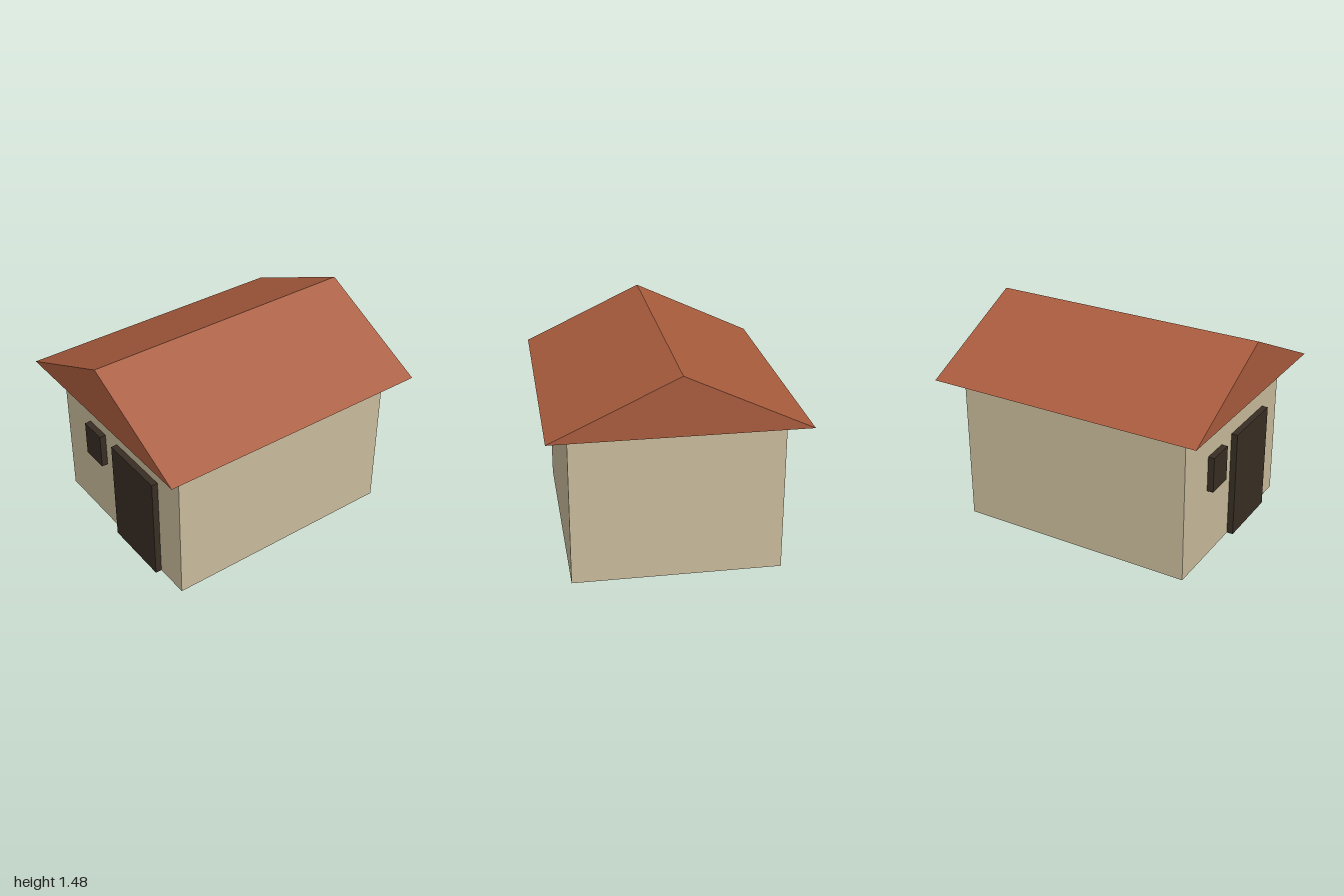
import * as THREE from 'three';

const wallMat = new THREE.MeshStandardMaterial({ color: 0xc8bb9b });
wallMat.name = 'sand plaster';
const roofMat = new THREE.MeshStandardMaterial({ color: 0xa85b3d });
roofMat.name = 'terracotta';
const darkMat = new THREE.MeshStandardMaterial({ color: 0x382e24 });
darkMat.name = 'dark timber';

// Box given by its min and max corners
function box(name, mat, [x0, y0, z0], [x1, y1, z1]) {
  const mesh = new THREE.Mesh(new THREE.BoxGeometry(x1 - x0, y1 - y0, z1 - z0), mat);
  mesh.position.set((x0 + x1) / 2, (y0 + y1) / 2, (z0 + z1) / 2);
  mesh.name = name;
  return mesh;
}

export function createModel() {
  const house = new THREE.Group();
  house.name = 'house';

  const eaveY = 1.075, wallZ = 0.857, frontZ = 0.902;

  // Walls
  house.add(box('walls', wallMat, [-0.713, 0, -wallZ], [0.713, eaveY, wallZ]));

  // Gable roof: a solid triangular prism overhanging all four walls
  const gable = new THREE.Shape([
    new THREE.Vector2(-0.855, eaveY),
    new THREE.Vector2(0.855, eaveY),
    new THREE.Vector2(0, 1.477),
  ]);
  const roofGeo = new THREE.ExtrudeGeometry(gable, { depth: 2, bevelEnabled: false });
  roofGeo.translate(0, 0, -1);
  const roof = new THREE.Mesh(roofGeo, roofMat);
  roof.name = 'roof';
  house.add(roof);

  // Door and window stand slightly proud of the front wall
  house.add(box('door', darkMat, [-0.036, 0, wallZ], [0.464, 0.785, frontZ]));
  house.add(box('window', darkMat, [-0.385, 0.516, wallZ], [-0.185, 0.772, frontZ]));

  return house;
}
